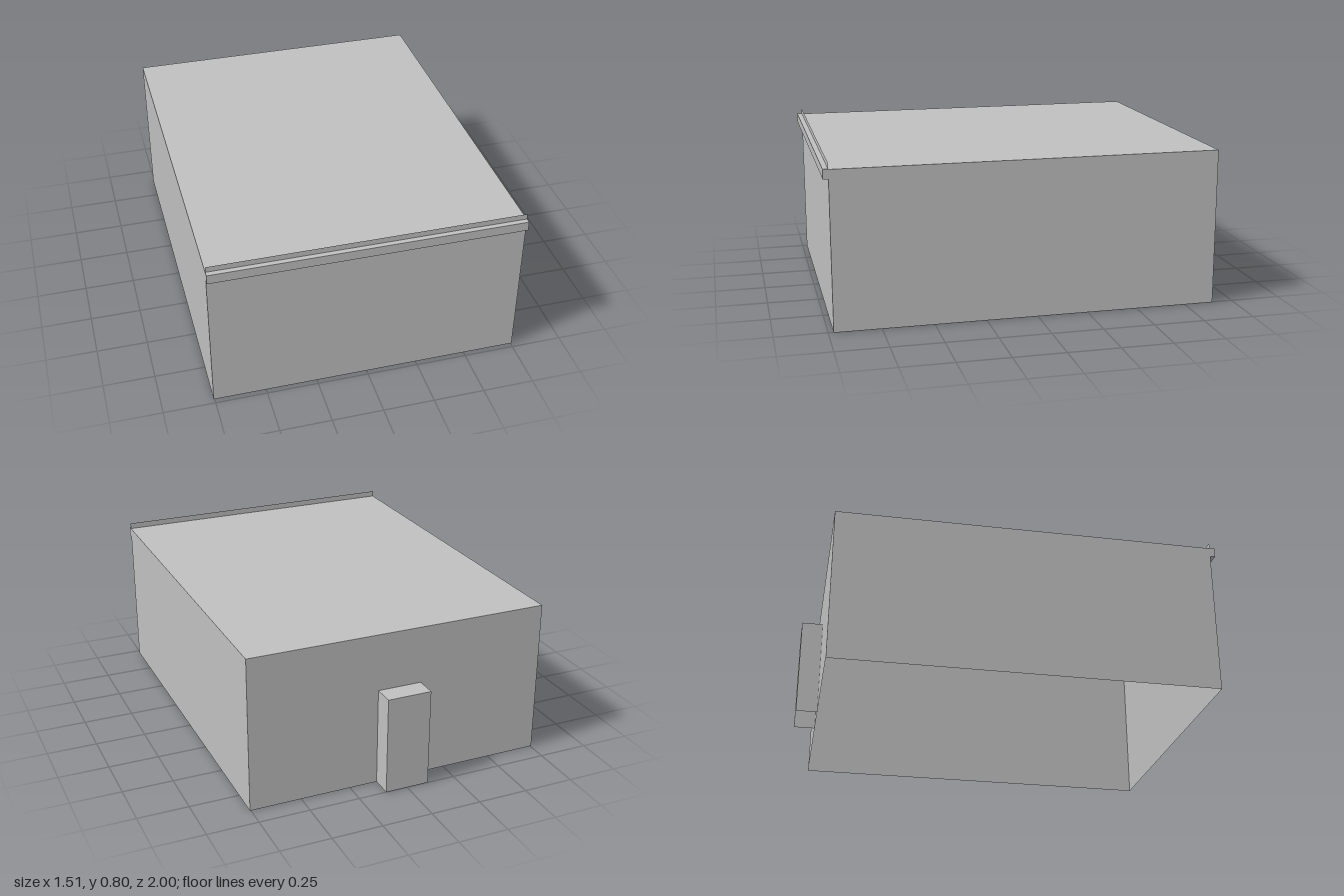
import * as THREE from 'three';

const W = 1.51, H = 0.77, FRONT = 0.975, BACK = -0.895;

export function createModel() {
  const model = new THREE.Group();
  const grey = new THREE.MeshStandardMaterial({ color: 0xbfbfbf, side: THREE.DoubleSide });
  grey.name = 'plain grey';

  // Adds a box given its y and z extents; faces listed in skip stay open
  // (box face order: +x, -x, +y, -y, +z, -z).
  function shell(name, width, y0, y1, z0, z1, skip = []) {
    const geo = new THREE.BoxGeometry(width, y1 - y0, z1 - z0);
    const index = Array.from(geo.index.array);
    geo.setIndex(index.filter((_, i) => !skip.includes(Math.floor(i / 6))));
    geo.clearGroups();
    const mesh = new THREE.Mesh(geo, grey);
    mesh.name = name;
    mesh.position.set(0, (y0 + y1) / 2, (z0 + z1) / 2);
    model.add(mesh);
  }

  // Main building: four walls and a flat roof, open underneath
  shell('building', W, 0, H, BACK, FRONT, [3]);

  // Projection on the back wall, open underneath and against the wall
  shell('rearProjection', 0.22, 0, 0.487, -1, BACK, [3, 4]);

  // Ledge along the top of the front wall
  shell('frontLedge', W, 0.725, 0.772, FRONT, 1, [5]);

  // Thin parapet standing above the front edge of the roof
  const parapet = new THREE.Mesh(new THREE.PlaneGeometry(W, 0.03), grey);
  parapet.name = 'parapet';
  parapet.position.set(0, H + 0.015, FRONT);
  model.add(parapet);

  return model;
}
